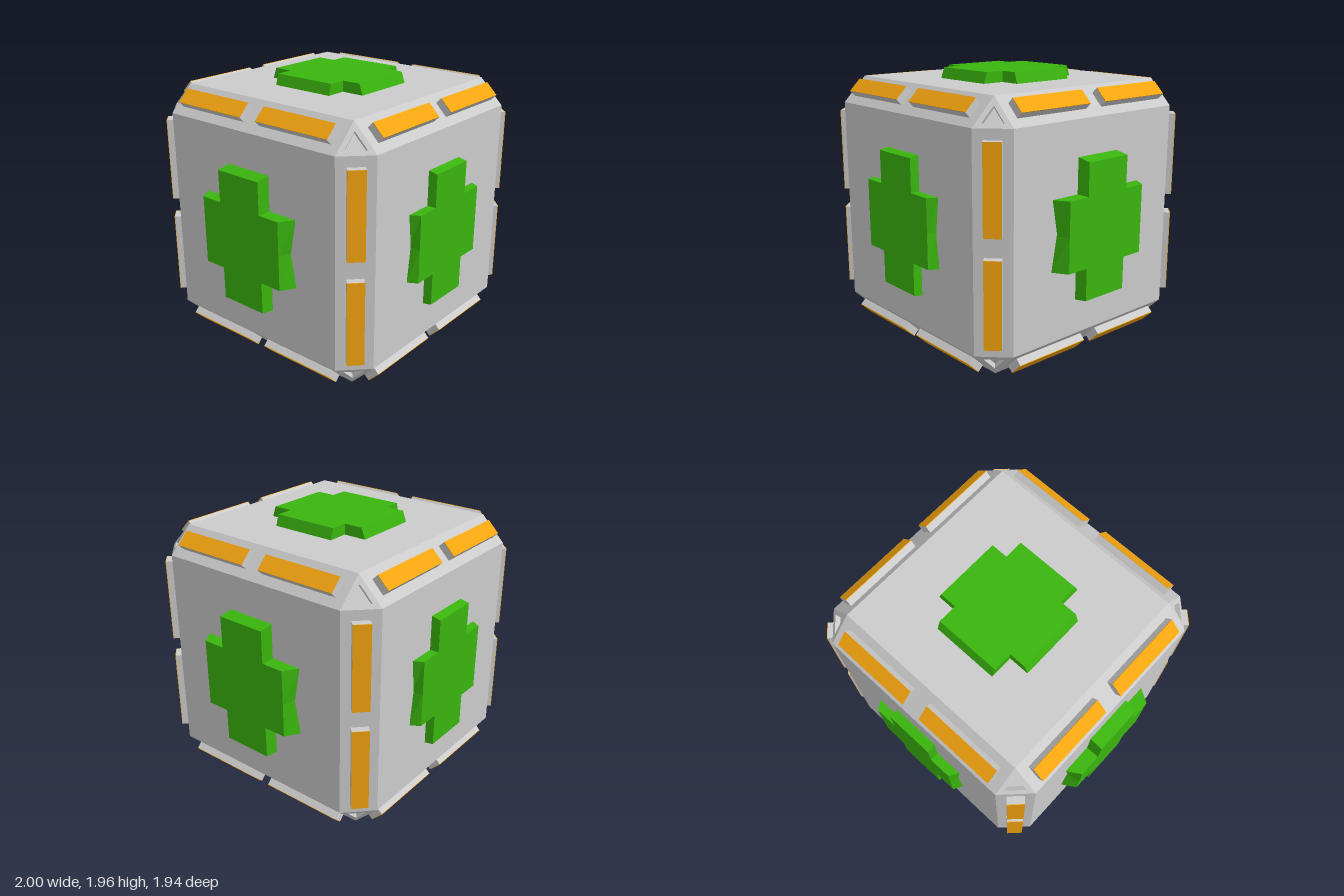
import * as THREE from 'three';

const H = 0.903;      // half size of the cube
const B = 0.727;      // where the chamfers start
const CENTRE_Y = 0.978;

const grey = new THREE.MeshStandardMaterial({ color: 0xcccccc, flatShading: true });
const green = new THREE.MeshStandardMaterial({ color: 0x3ab50e, flatShading: true });
const orange = new THREE.MeshStandardMaterial({ color: 0xf5a50f, flatShading: true });

// Adds a flat convex polygon, turned so that its normal points along `facing`
function addPolygon(out, points, facing) {
  const n = points[1].clone().sub(points[0]).cross(points[2].clone().sub(points[0]));
  const p = n.dot(facing) < 0 ? [...points].reverse() : points;
  for (let i = 1; i < p.length - 1; i++) {
    for (const v of [p[0], p[i], p[i + 1]]) out.push(v.x, v.y, v.z);
  }
}

function meshFrom(positions, name) {
  const g = new THREE.BufferGeometry();
  g.setAttribute('position', new THREE.Float32BufferAttribute(positions, 3));
  g.computeVertexNormals();
  const mesh = new THREE.Mesh(g, grey);
  mesh.name = name;
  return mesh;
}

// Point given by its values on the axes k, k+1 and k+2
function onAxes(k, a, b, c) {
  const v = new THREE.Vector3();
  v.setComponent(k, a);
  v.setComponent((k + 1) % 3, b);
  v.setComponent((k + 2) % 3, c);
  return v;
}

// Square faces and edge chamfers
function createBody() {
  const out = [];
  for (let k = 0; k < 3; k++) {
    for (const s of [-1, 1]) {
      addPolygon(out, [[-1, -1], [1, -1], [1, 1], [-1, 1]]
        .map(([a, b]) => onAxes(k, s * H, a * B, b * B)), onAxes(k, s, 0, 0));
      for (const t of [-1, 1]) {
        addPolygon(out, [
          onAxes(k, -B, s * H, t * B), onAxes(k, B, s * H, t * B),
          onAxes(k, B, s * B, t * H), onAxes(k, -B, s * B, t * H),
        ], onAxes(k, 0, s, t));
      }
    }
  }
  return meshFrom(out, 'body');
}

// Triangular corner with a sunken triangle
function createCorner(sx, sy, sz) {
  const sign = new THREE.Vector3(sx, sy, sz);
  const normal = sign.clone().normalize();
  const outer = [0, 1, 2].map(k => onAxes(k, H, B, B).multiply(sign));
  const mid = sign.clone().multiplyScalar((H + 2 * B) / 3);
  const inner = outer.map(p => p.clone().lerp(mid, 0.45));
  const floor = inner.map(p => p.clone().addScaledVector(normal, -0.035));
  const out = [];
  for (let i = 0; i < 3; i++) {
    const j = (i + 1) % 3;
    addPolygon(out, [outer[i], outer[j], inner[j], inner[i]], normal);
    const inward = mid.clone().sub(inner[i].clone().lerp(inner[j], 0.5));
    addPolygon(out, [inner[i], inner[j], floor[j], floor[i]], inward);
  }
  addPolygon(out, floor, normal);
  return meshFrom(out, 'cornerRecess');
}

// Raised cross with sloping ends; `notch` is the arm length at the middle of its end
function createCross({ barW, barL, barTop, armH, armL, armTop, notch, tip }) {
  const pts = [
    [barW, -barL], [barW, -armH], [armL, -armH], [notch, 0], [armL, armH], [barW, armH], [barW, barL],
  ];
  const outline = [...pts, ...pts.map(([x, y]) => [-x, -y])].map(p => new THREE.Vector2(...p));
  const start = H - 0.008, depth = tip - start;
  const g = new THREE.ExtrudeGeometry(new THREE.Shape(outline), { depth, bevelEnabled: false });
  const p = g.attributes.position;
  for (let i = 0; i < p.count; i++) {
    if (p.getZ(i) < depth / 2) continue;
    const x = p.getX(i), y = p.getY(i);
    if (Math.abs(x) > 0.3) p.setX(i, Math.sign(x) * armTop);
    if (Math.abs(y) > 0.3) p.setY(i, Math.sign(y) * barTop);
  }
  g.translate(0, 0, start);
  g.computeVertexNormals();
  return g;
}

// Two lit panels on each of the four chamfers parallel to z
function createPanelRing() {
  const ring = new THREE.Group();
  const base = new THREE.BoxGeometry(0.063, 0.114, 0.588);
  const plate = new THREE.BoxGeometry(0.004, 0.114, 0.588);
  for (let i = 0; i < 4; i++) {
    const arm = new THREE.Group();
    arm.name = 'edgePanels';
    arm.rotation.z = Math.PI / 4 + i * Math.PI / 2;
    for (const s of [-1, 1]) {
      const mount = new THREE.Mesh(base, grey);
      mount.name = 'panelMount';
      mount.position.set(1.1715, 0, s * 0.364);
      const light = new THREE.Mesh(plate, orange);
      light.name = 'panelFace';
      light.position.set(1.205, 0, s * 0.364);
      arm.add(mount, light);
    }
    ring.add(arm);
  }
  return ring;
}

export function createModel() {
  const model = new THREE.Group();
  model.name = 'crate';
  const cube = new THREE.Group();
  cube.name = 'cube';
  cube.position.y = CENTRE_Y;
  model.add(cube);

  cube.add(createBody());
  for (const x of [-1, 1]) for (const y of [-1, 1]) for (const z of [-1, 1]) cube.add(createCorner(x, y, z));

  // Crosses on the six faces
  const frontCross = createCross({
    barW: 0.177, barL: 0.484, barTop: 0.47, armH: 0.24, armL: 0.385, armTop: 0.343, notch: 0.355, tip: 0.968,
  });
  const sideCross = createCross({
    barW: 0.18, barL: 0.484, barTop: 0.465, armH: 0.24, armL: 0.407, armTop: 0.343, notch: 0.363, tip: 1,
  });
  const topCross = createCross({
    barW: 0.236, barL: 0.406, barTop: 0.375, armH: 0.238, armL: 0.385, armTop: 0.358, notch: 0.385, tip: CENTRE_Y,
  });
  const q = Math.PI / 2;
  for (const [name, g, rx, ry] of [
    ['frontCross', frontCross, 0, 0], ['backCross', frontCross, 0, 2 * q],
    ['leftCross', sideCross, 0, q], ['rightCross', sideCross, 0, -q],
    ['topCross', topCross, -q, 0], ['bottomCross', topCross, q, 0],
  ]) {
    const cross = new THREE.Mesh(g, green);
    cross.name = name;
    cross.rotation.set(rx, ry, 0);
    cube.add(cross);
  }

  // Panels along all twelve edges
  for (const [name, rx, ry] of [['depthPanels', 0, 0], ['uprightPanels', q, 0], ['widthPanels', 0, q]]) {
    const ring = createPanelRing();
    ring.name = name;
    ring.rotation.set(rx, ry, 0);
    cube.add(ring);
  }
  return model;
}
